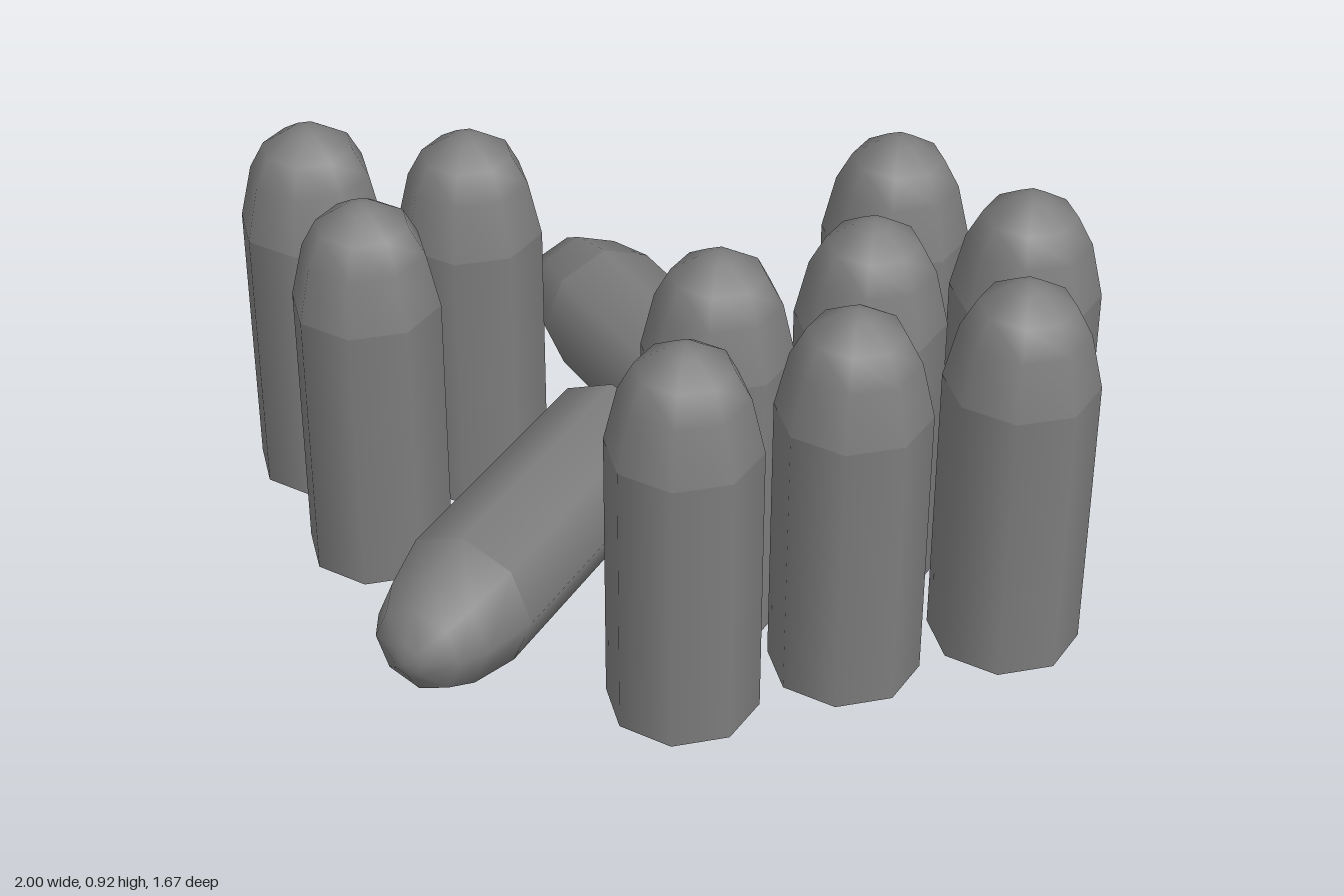
import * as THREE from 'three';

const RADIUS = 0.17;
const BODY = 0.67; // height of the straight casing
const SIDES = 8;

export function createModel() {
  const model = new THREE.Group();
  const material = new THREE.MeshStandardMaterial({ color: 0x7c7c7c });

  // Straight casing with a flat base, standing on y = 0
  const casingGeometry = new THREE.CylinderGeometry(RADIUS, RADIUS, BODY, SIDES);
  casingGeometry.translate(0, BODY / 2, 0);

  // Rounded nose, kept apart from the casing so the seam stays crisp
  const nosePoints = [[RADIUS, BODY], [0.14, 0.8], [0.105, 0.866], [0.04, 0.908], [0, 0.92]]
    .map(([r, y]) => new THREE.Vector2(r, y));
  const noseGeometry = new THREE.LatheGeometry(nosePoints, SIDES);

  // Point the normals at the apex straight up, so the tip looks round
  const tip = nosePoints.length - 1;
  for (let i = 0; i <= SIDES; i++) {
    noseGeometry.attributes.normal.setXYZ(i * nosePoints.length + tip, 0, 1, 0);
  }

  function addBullet(name, x, y, z) {
    const bullet = new THREE.Group();
    bullet.name = name;
    const casing = new THREE.Mesh(casingGeometry, material);
    casing.name = 'casing';
    const nose = new THREE.Mesh(noseGeometry, material);
    nose.name = 'nose';
    bullet.add(casing, nose);
    bullet.position.set(x, y, z);
    model.add(bullet);
    return bullet;
  }

  // Standing bullets: [x, z]
  const standing = [
    [-0.83, -0.145], [-0.464, -0.167], [-0.627, 0.173],
    [0.508, -0.302], [0.818, -0.093], [0.487, 0.075], [0.83, 0.277],
    [0.173, 0.257], [0.487, 0.441], [0.153, 0.625],
  ];
  standing.forEach(([x, z], i) => addBullet(`standingBullet${i + 1}`, x, 0, z));

  // Fallen bullets: base centre x, z and pointing direction x, z
  const fallen = [
    [-0.111, -0.035, -0.33, 0.943],
    [0.189, -0.094, -0.623, -0.783],
  ];
  fallen.forEach(([x, z, dx, dz], i) => {
    const bullet = addBullet(`fallenBullet${i + 1}`, x, 0.187, z);
    bullet.rotation.set(Math.PI / 2, Math.atan2(dx, dz), 0, 'YXZ');
  });

  return model;
}
